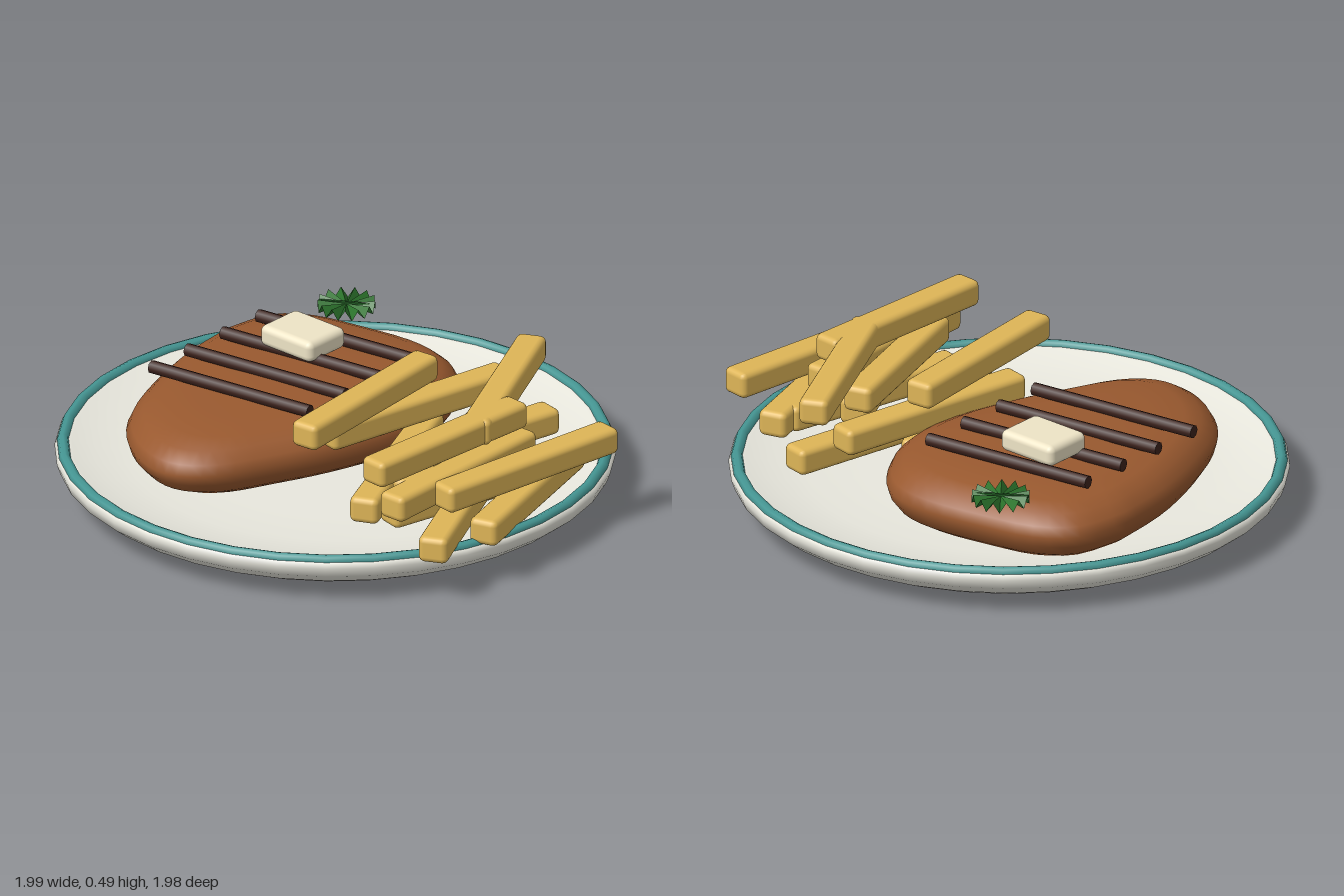
import * as THREE from 'three';
import { RoundedBoxGeometry } from 'three/addons/geometries/RoundedBoxGeometry.js';

const mat = (color, extra = {}) => new THREE.MeshStandardMaterial({ color, ...extra });

function part(parent, name, geometry, material, x = 0, y = 0, z = 0) {
  const mesh = new THREE.Mesh(geometry, material);
  mesh.name = name;
  mesh.position.set(x, y, z);
  parent.add(mesh);
  return mesh;
}

// Closed surface from stacked copies of one outline: levels are [scale, y]
function loftGeometry(outline, levels, cx, cz) {
  const pos = [], idx = [], n = outline.length;
  for (const [s, y] of levels)
    for (const p of outline) pos.push(cx + (p.x - cx) * s, y, cz + (p.y - cz) * s);
  for (let j = 0; j < levels.length - 1; j++)
    for (let i = 0; i < n; i++) {
      const a = j * n + i, b = j * n + (i + 1) % n;
      idx.push(a, a + n, b, b, a + n, b + n);
    }
  const bottom = pos.length / 3, top = bottom + 1, last = (levels.length - 1) * n;
  pos.push(cx, levels[0][1], cz, cx, levels.at(-1)[1] + 0.002, cz);
  for (let i = 0; i < n; i++) {
    const k = (i + 1) % n;
    idx.push(bottom, i, k, top, last + k, last + i);
  }
  const g = new THREE.BufferGeometry();
  g.setAttribute('position', new THREE.Float32BufferAttribute(pos, 3));
  g.setIndex(idx);
  g.computeVertexNormals();
  return g;
}

// Round leaf with a crimped edge
function leafGeometry(radius, teeth) {
  const g = new THREE.CircleGeometry(radius, teeth * 2).rotateX(-Math.PI / 2);
  const p = g.attributes.position;
  for (let i = 1; i < p.count; i++) p.setY(i, i % 2 ? 0.018 : -0.022);
  g.computeVertexNormals();
  return g;
}

export function createModel() {
  const model = new THREE.Group();
  model.name = 'steakAndFriesPlate';

  // Plate: shallow dish turned around the y axis
  const profile = [
    [0, 0], [0.5, 0], [0.78, 0.002], [0.85, 0.025], [0.93, 0.065], [0.98, 0.105], [0.992, 0.14],
    [0.985, 0.16], [0.96, 0.168], [0.93, 0.16], [0.85, 0.14], [0.72, 0.122], [0.5, 0.115], [0, 0.115],
  ].map(([x, y]) => new THREE.Vector2(x, y));
  part(model, 'plate', new THREE.LatheGeometry(profile, 36), mat(0xe9e8de));
  part(model, 'plateRim', new THREE.TorusGeometry(0.962, 0.021, 8, 36).rotateX(Math.PI / 2), mat(0x459693), 0, 0.161, 0);

  // Steak: rounded slab, wide at the back and tapering to the front
  const outline = new THREE.SplineCurve([
    [-0.77, -0.25], [-0.73, -0.45], [-0.6, -0.56], [-0.4, -0.61], [-0.17, -0.645], [0, -0.62], [0.12, -0.52],
    [0.22, -0.34], [0.225, -0.1], [0.15, 0.18], [0.06, 0.4], [-0.03, 0.59], [-0.14, 0.685], [-0.27, 0.69],
    [-0.43, 0.61], [-0.57, 0.46], [-0.67, 0.24], [-0.74, 0], [-0.77, -0.25],
  ].map(([x, z]) => new THREE.Vector2(x, z))).getPoints(54).slice(0, -1).reverse();
  const levels = [[0.86, 0.125], [0.93, 0.15], [0.98, 0.19], [1, 0.23], [0.97, 0.265],
    [0.9, 0.3], [0.8, 0.325], [0.6, 0.338], [0.3, 0.344]];
  const steak = loftGeometry(outline, levels.map((l) => l), -0.27, -0.08);
  part(model, 'steak', orientOutward(steak), mat(0x99592f));

  // Grill marks: four parallel bars
  const barMat = mat(0x3d231d);
  for (let i = 0; i < 4; i++) {
    const bar = part(model, 'grillMark', new THREE.CylinderGeometry(0.024, 0.024, 0.67, 8).rotateZ(Math.PI / 2),
      barMat, -0.295, 0.358, -0.34 + i * 0.188);
    bar.rotation.y = 0.15;
  }

  // Butter and herb leaf
  part(model, 'butter', new RoundedBoxGeometry(0.245, 0.08, 0.195, 3, 0.025), mat(0xeee4c6), -0.337, 0.4, -0.202);
  const herb = new THREE.Group();
  herb.name = 'herb';
  herb.position.set(-0.465, 0.355, -0.575);
  herb.rotation.y = 0.56;
  model.add(herb);
  part(herb, 'leaf', leafGeometry(0.103, 13), mat(0x2c742c, { side: THREE.DoubleSide, flatShading: true }));
  part(herb, 'leafRib', new THREE.BoxGeometry(0.2, 0.008, 0.01), mat(0x235f25), 0, 0.004, 0);

  // Fries: [back x, back z, front x, front z] for each layer
  const layers = [
    [[0.49, -0.6, 0.34, 0.15], [0.2, -0.28, 0.52, 0.43], [0.74, -0.43, 0.95, 0.28],
      [0.75, -0.34, 0.59, 0.38], [0.59, -0.16, 0.92, 0.51]],
    [[0.31, -0.55, 0.16, 0.23], [0.49, -0.26, 0.69, 0.4], [0.91, -0.44, 0.81, 0.34], [0.71, -0.22, 0.73, 0.52]],
    [[0.37, -0.63, 0.70, 0.04], [0.195, -0.27, 0.27, 0.47], [0.69, -0.2, 0.65, 0.53]],
  ];
  const fryMat = mat(0xdeb557);
  const fries = new THREE.Group();
  fries.name = 'fries';
  model.add(fries);
  layers.forEach((layer, i) => {
    for (const [x0, z0, x1, z1] of layer) {
      const length = Math.hypot(x1 - x0, z1 - z0);
      const fry = part(fries, 'fry', new RoundedBoxGeometry(0.108, 0.098, length, 2, 0.022), fryMat,
        (x0 + x1) / 2, 0.21 + i * 0.114, (z0 + z1) / 2);
      fry.rotation.y = Math.atan2(x1 - x0, z1 - z0);
    }
  });
  return model;
}

// Flip the faces when the signed volume is negative
function orientOutward(g) {
  const p = g.attributes.position, idx = g.index.array;
  const [a, b, c] = [0, 1, 2].map(() => new THREE.Vector3());
  let volume = 0;
  for (let i = 0; i < idx.length; i += 3) {
    a.fromBufferAttribute(p, idx[i]);
    b.fromBufferAttribute(p, idx[i + 1]);
    c.fromBufferAttribute(p, idx[i + 2]);
    volume += a.dot(b.cross(c));
  }
  if (volume < 0) {
    for (let i = 0; i < idx.length; i += 3) [idx[i], idx[i + 1]] = [idx[i + 1], idx[i]];
    g.computeVertexNormals();
  }
  return g;
}
